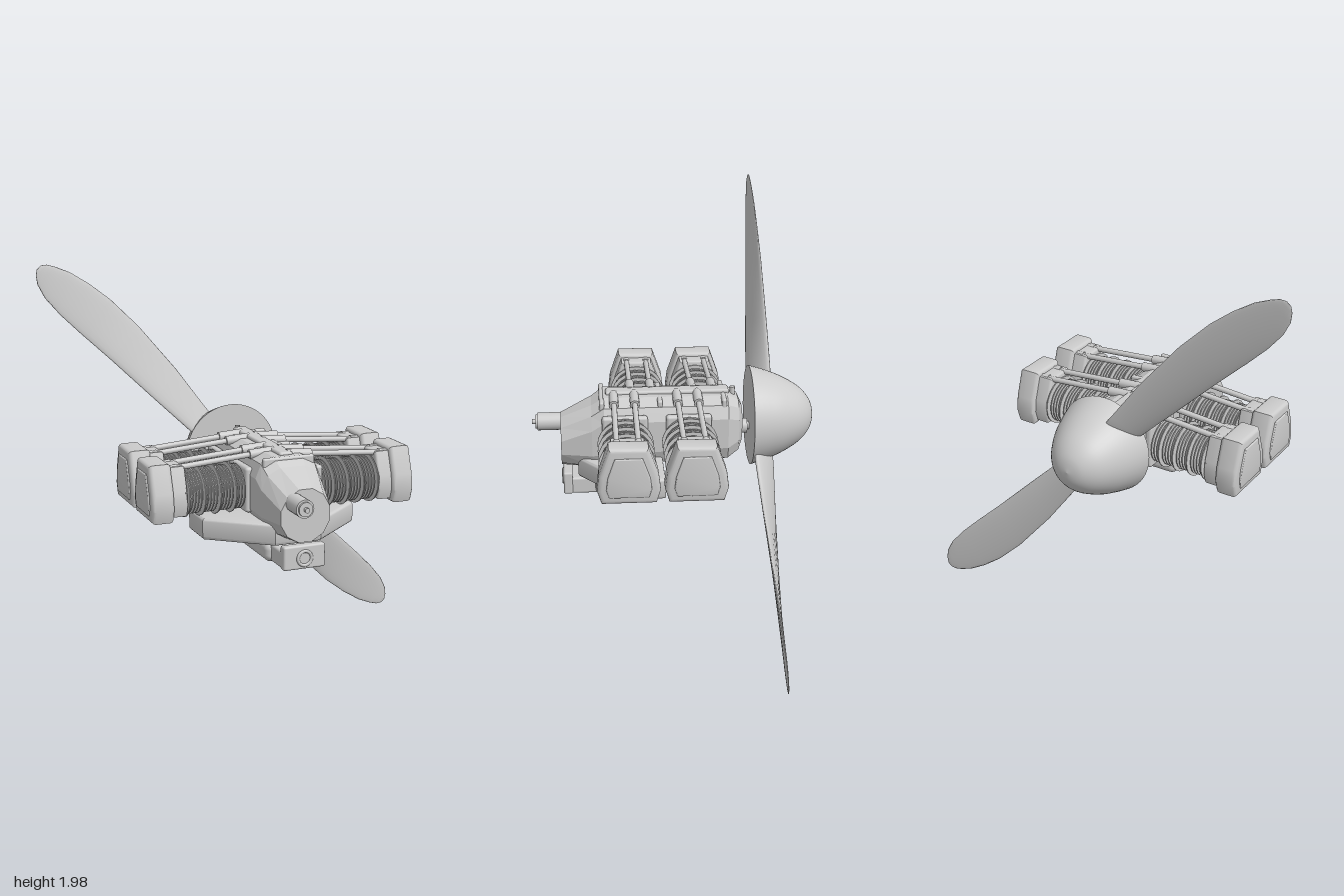
import * as THREE from 'three';
import { toCreasedNormals } from 'three/addons/utils/BufferGeometryUtils.js';
import { RoundedBoxGeometry } from 'three/addons/geometries/RoundedBoxGeometry.js';

const smooth = new THREE.MeshStandardMaterial({ color: 0xcccccc });
const faceted = new THREE.MeshStandardMaterial({ color: 0xcccccc, flatShading: true });

function add(parent, name, geometry, x = 0, y = 0, z = 0, material = smooth) {
  const mesh = new THREE.Mesh(geometry, material);
  mesh.name = name;
  mesh.position.set(x, y, z);
  parent.add(mesh);
  return mesh;
}

// Closed skin over rings of points, each ring counter-clockwise about the loft direction
function loft(rings) {
  const n = rings[0].length, last = (rings.length - 1) * n, index = [];
  for (let i = 0; i < rings.length - 1; i++)
    for (let j = 0; j < n; j++) {
      const a = i * n + j, b = i * n + (j + 1) % n;
      index.push(a, b, b + n, a, b + n, a + n);
    }
  for (let j = 1; j < n - 1; j++) index.push(0, j + 1, j, last, last + j, last + j + 1);
  const geo = new THREE.BufferGeometry();
  geo.setAttribute('position', new THREE.Float32BufferAttribute(rings.flat(2), 3));
  geo.setIndex(index);
  geo.computeVertexNormals();
  return geo;
}

// Bevelled plate; the bevel grows inside the given depth
function plate(points, depth, bevel) {
  const shape = new THREE.Shape(points.map(p => new THREE.Vector2(...p)));
  const geo = new THREE.ExtrudeGeometry(shape, {
    depth: depth - 2 * bevel, bevelThickness: bevel, bevelSize: bevel, bevelSegments: 3,
  });
  geo.translate(0, 0, bevel);
  return toCreasedNormals(geo, 0.6);
}

function rod(parent, name, from, to, radius, sides = 12) {
  const a = new THREE.Vector3(...from), b = new THREE.Vector3(...to);
  const dir = b.clone().sub(a);
  const mesh = add(parent, name, new THREE.CylinderGeometry(radius, radius, dir.length(), sides));
  mesh.position.copy(a).lerp(b, 0.5);
  mesh.quaternion.setFromUnitVectors(new THREE.Vector3(0, 1, 0), dir.normalize());
  return mesh;
}

function makeBlade() {
  // distance from hub, trailing and leading edge offset, their z, half thickness
  const stations = [
    [0.10, -0.06, 0.065, -0.39, -0.485, 0.026],
    [0.25, -0.075, 0.078, -0.385, -0.487, 0.022],
    [0.50, -0.09, 0.105, -0.402, -0.482, 0.017],
    [0.80, -0.105, 0.117, -0.425, -0.477, 0.013],
    [1.00, -0.119, 0.107, -0.438, -0.472, 0.01],
    [1.13, -0.125, 0.085, -0.447, -0.47, 0.008],
    [1.24, -0.12, 0.055, -0.455, -0.468, 0.006],
    [1.31, -0.1, 0.022, -0.459, -0.467, 0.005],
    [1.345, -0.075, 0.0, -0.461, -0.466, 0.004],
    [1.362, -0.052, -0.022, -0.463, -0.465, 0.002],
  ];
  return loft(stations.map(([u, v0, v1, z0, z1, th]) => {
    const cx = (v1 - v0) / 2, cz = (z1 - z0) / 2, len = Math.hypot(cx, cz);
    return Array.from({ length: 20 }, (_, k) => {
      const t = k / 20 * Math.PI * 2, s = Math.sin(t), c = Math.cos(t) * th / len;
      return [(v0 + v1) / 2 + cx * s - cz * c, u, (z0 + z1) / 2 + cz * s + cx * c];
    });
  }));
}

function makePropeller() {
  const group = new THREE.Group();
  group.name = 'propeller';
  const curve = new THREE.SplineCurve([
    [0.245, 0.375], [0.222, 0.45], [0.19, 0.53], [0.135, 0.62], [0.07, 0.673], [0, 0.69],
  ].map(p => new THREE.Vector2(...p)));
  const profile = curve.getPoints(24);
  profile.forEach(p => { p.x = Math.max(p.x, 0); });
  const spinner = new THREE.LatheGeometry(profile, 48);
  spinner.rotateX(-Math.PI / 2);
  add(group, 'spinner', spinner, 0, 1.008, 0);
  add(group, 'spinnerBackplate', new THREE.CircleGeometry(0.245, 48), 0, 1.008, -0.375);
  const blade = makeBlade();
  for (const turn of [0, Math.PI])
    add(group, 'propellerBlade', blade, 0, 1, 0).rotation.z = 0.744 + turn;
  return group;
}

// One cylinder pointing along +x
function makeCylinder() {
  const group = new THREE.Group();
  group.name = 'cylinder';
  const cy = 0.975;
  rod(group, 'barrel', [0.1, cy, 0], [0.5, cy, 0], 0.095, 24);
  add(group, 'barrelFlange', new RoundedBoxGeometry(0.04, 0.22, 0.22, 2, 0.015), 0.16, cy, 0);
  for (let i = 0; i < 20; i++) {
    const x = 0.185 + i * 0.0153;
    const r = i % 5 === 3 ? 0.134 : 0.12;
    rod(group, 'coolingFin', [x, cy, 0], [x + 0.005, cy, 0], r, 24).scale.set(0.9, 1, 1);
  }
  const outline = [[-0.11, 0.885], [0.11, 0.885], [0.124, 0.93], [0.115, 1.0], [0.075, 1.115],
    [-0.075, 1.115], [-0.115, 1.0], [-0.124, 0.93]];
  const head = plate(outline.map(([z, y]) => [z * 0.9, (y - 1) * 0.9 + 1]), 0.1, 0.012);
  add(group, 'cylinderHead', head.rotateY(Math.PI / 2), 0.47, 0, 0);
  add(group, 'valveCover', plate(outline, 0.11, 0.02).rotateY(Math.PI / 2), 0.54, 0, 0);
  // Raised panel on the outer face
  const panel = plate(outline.map(([z, y]) => [z * 0.78, (y - 1) * 0.78 + 0.995]), 0.02, 0.006);
  add(group, 'valveCoverPanel', panel.rotateY(Math.PI / 2), 0.637, 0, 0);
  for (const z of [-0.05, 0.05]) {
    rod(group, 'pushrodTube', [0.56, 1.1, z], [0.08, 1.138, z], 0.014);
    rod(group, 'pushrodSleeve', [0.14, 1.134, z], [0.015, 1.142, z], 0.023);
    rod(group, 'pushrodCollar', [0.5, 1.102, z], [0.55, 1.098, z], 0.021);
  }
  return group;
}

function makeCrankcase() {
  const group = new THREE.Group();
  group.name = 'crankcase';
  // z, half width, bottom, top, squareness
  const sections = [
    [-0.335, 0.075, 0.88, 1.07, 0.8], [-0.315, 0.12, 0.835, 1.115, 0.7],
    [-0.26, 0.155, 0.805, 1.145, 0.6], [0.34, 0.165, 0.785, 1.15, 0.6],
    [0.4, 0.16, 0.775, 1.11, 0.7], [0.55, 0.127, 0.78, 1.04, 1],
  ];
  const shell = loft(sections.map(([z, w, y0, y1, e]) => Array.from({ length: 12 }, (_, k) => {
    const t = (k + 0.5) / 12 * Math.PI * 2, c = Math.cos(t), s = Math.sin(t);
    return [w * Math.sign(c) * Math.abs(c) ** e,
      (y0 + y1) / 2 + (y1 - y0) / 2 * Math.sign(s) * Math.abs(s) ** e, z];
  })));
  add(group, 'caseShell', shell, 0, 0, 0, faceted);
  add(group, 'caseSpine', new RoundedBoxGeometry(0.07, 0.06, 0.6, 2, 0.012), 0, 1.13, 0.03);
  for (const z of [-0.24, 0.07, 0.35])
    add(group, 'caseRib', new RoundedBoxGeometry(0.26, 0.1, 0.025, 2, 0.01), 0, 1.095, z);
  rod(group, 'breather', [0, 1.08, -0.29], [0, 1.16, -0.29], 0.013);
  rod(group, 'crankshaft', [0, 0.95, -0.3], [0, 0.95, -0.365], 0.036, 20);
  rod(group, 'crankshaftHub', [0, 0.95, -0.36], [0, 0.95, -0.38], 0.02, 16);
  return group;
}

function makeUnderside() {
  const group = new THREE.Group();
  group.name = 'underside';
  const sump = plate([[-0.11, 0.455], [0.11, 0.455], [0.375, 0.24], [0.375, 0.075],
    [-0.375, 0.075], [-0.375, 0.24]], 0.105, 0.015);
  add(group, 'sump', sump.rotateX(Math.PI / 2), 0, 0.858, 0);
  add(group, 'carburettorNeck', new THREE.BoxGeometry(0.16, 0.06, 0.22), 0, 0.745, 0.26);
  add(group, 'airBox', new RoundedBoxGeometry(0.25, 0.095, 0.33, 4, 0.035), 0, 0.693, 0.225);
  add(group, 'carburettorBody', new RoundedBoxGeometry(0.2, 0.085, 0.14, 2, 0.012), 0, 0.695, 0.44);
  add(group, 'carburettorFlange', new RoundedBoxGeometry(0.21, 0.115, 0.045, 2, 0.01), 0, 0.71, 0.522);
  add(group, 'intakeRing', new THREE.TorusGeometry(0.034, 0.008, 8, 24), 0, 0.705, 0.544);
  return group;
}

function makeStarter() {
  const group = new THREE.Group();
  group.name = 'starter';
  const at = (z) => [-0.055, 0.978, z];
  rod(group, 'starterBody', at(0.5), at(0.665), 0.044, 20);
  rod(group, 'starterCap', at(0.66), at(0.675), 0.034, 20);
  rod(group, 'starterTip', at(0.67), at(0.692), 0.012);
  return group;
}

export function createModel() {
  const model = new THREE.Group();
  model.name = 'aircraftEngine';
  model.add(makePropeller(), makeCrankcase(), makeUnderside(), makeStarter());
  // Opposed cylinders, staggered from side to side
  for (const [side, z] of [[1, -0.065], [1, 0.242], [-1, -0.145], [-1, 0.158]]) {
    const cylinder = makeCylinder();
    cylinder.name = side > 0 ? 'leftCylinder' : 'rightCylinder';
    cylinder.position.z = z;
    if (side < 0) cylinder.rotation.y = Math.PI;
    model.add(cylinder);
  }
  return model;
}
